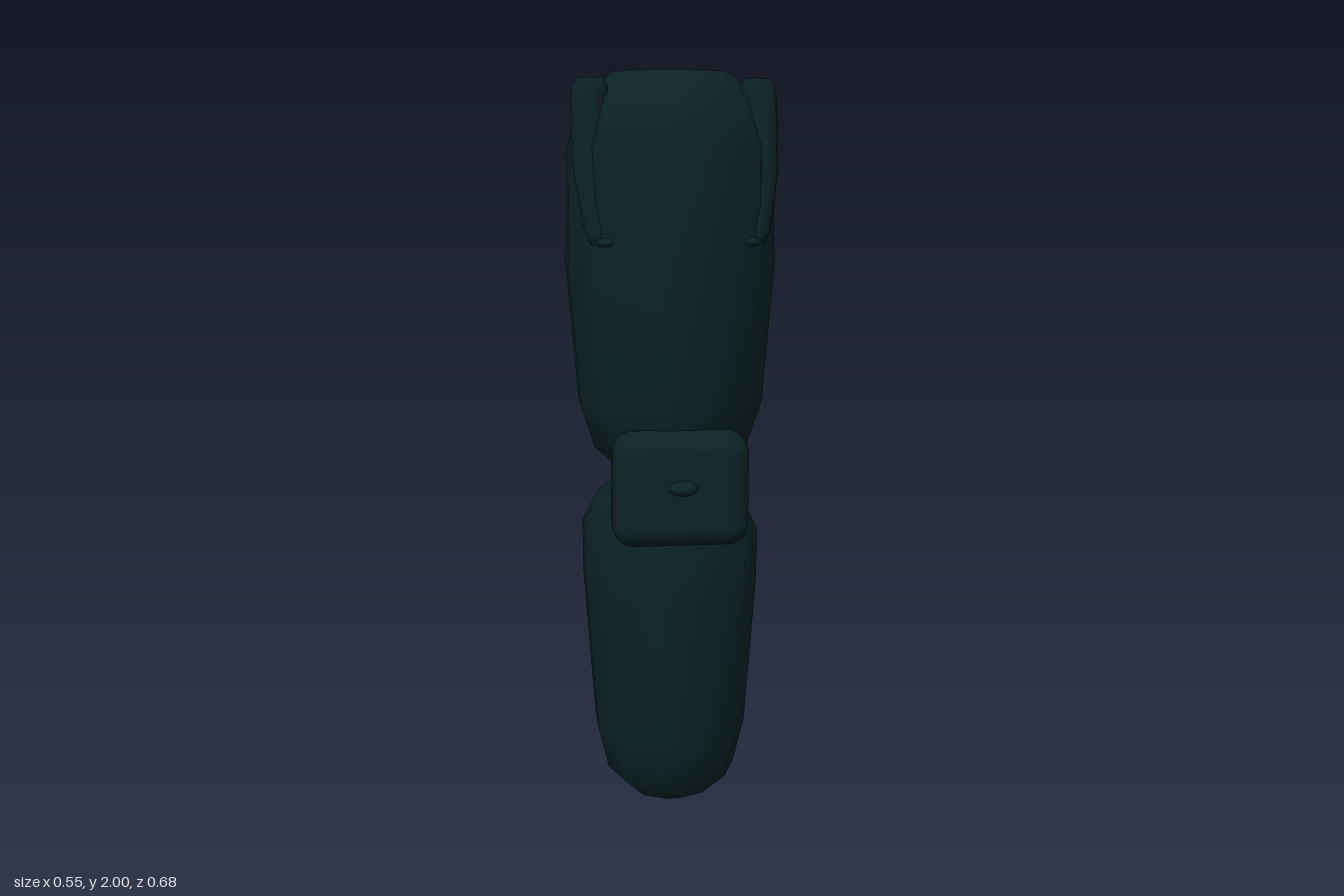
import * as THREE from 'three';
import { RoundedBoxGeometry } from 'three/addons/geometries/RoundedBoxGeometry.js';

// Closed smooth skin over rings of points, listed from bottom to top,
// each ring running clockwise when seen from above
function loft(rings) {
  const n = rings[0].length;
  const index = [];
  for (let r = 0; r < rings.length - 1; r++) {
    for (let i = 0; i < n; i++) {
      const a = r * n + i, b = r * n + (i + 1) % n;
      index.push(a, a + n, b, b, a + n, b + n);
    }
  }
  const top = (rings.length - 1) * n;
  for (let i = 1; i < n - 1; i++) {
    index.push(0, i, i + 1, top, top + i + 1, top + i);
  }
  const g = new THREE.BufferGeometry().setFromPoints(rings.flat());
  g.setIndex(index);
  g.computeVertexNormals();
  return g;
}

// Twelve-sided section of a limb
const quarter = [[0.18, 1], [0.77, 0.79], [1, 0.27]];
const section = [
  ...quarter,
  ...quarter.map(([x, z]) => [x, -z]).reverse(),
  ...quarter.map(([x, z]) => [-x, -z]),
  ...quarter.map(([x, z]) => [-x, z]).reverse(),
].reverse();

// Rows: height, half width, front z, back z
function limb(rows) {
  return loft(rows.map(([y, hx, front, back]) => section.map(([x, z]) =>
    new THREE.Vector3(x * hx, y, (front + back) / 2 + z * (front - back) / 2))));
}

// Tapered flap lying on the outer front corner of the thigh
// Rows: height, centre x, centre z, half length, half thickness
function flapGeometry(rows) {
  const n = 14;
  return loft(rows.map(([y, cx, cz, a, b]) => Array.from({ length: n }, (_, i) => {
    const t = i / n * Math.PI * 2;
    const u = Math.sin(t) * a, v = Math.cos(t) * b;
    return new THREE.Vector3(cx - 0.5 * u + 0.87 * v, y, cz + 0.87 * u + 0.5 * v);
  })));
}

export function createModel() {
  const model = new THREE.Group();
  model.name = 'armouredLeg';
  const armour = new THREE.MeshStandardMaterial({ color: 0x0b2225 });
  armour.name = 'dark teal';
  const add = (name, geometry, parent = model) => {
    const mesh = new THREE.Mesh(geometry, armour);
    mesh.name = name;
    parent.add(mesh);
    return mesh;
  };

  add('thigh', limb([
    [0.935, 0.13, 0.115, -0.2],
    [1.01, 0.21, 0.195, -0.275],
    [1.13, 0.247, 0.235, -0.31],
    [1.5, 0.276, 0.26, -0.335],
    [1.81, 0.268, 0.255, -0.338],
    [1.93, 0.225, 0.21, -0.295],
    [2.0, 0.155, 0.13, -0.21],
  ]));

  add('shin', limb([
    [0, 0.108, 0.1, -0.165],
    [0.07, 0.18, 0.165, -0.235],
    [0.2, 0.21, 0.195, -0.273],
    [0.62, 0.239, 0.22, -0.3],
    [0.77, 0.24, 0.22, -0.3],
    [0.86, 0.195, 0.185, -0.265],
    [0.92, 0.13, 0.12, -0.2],
  ]));

  // Knee pad with a small stud on its face
  add('kneePad', new RoundedBoxGeometry(0.356, 0.3, 0.145, 3, 0.055)).position.set(0, 0.94, 0.2285);
  const stud = add('kneeStud', new THREE.SphereGeometry(1, 16, 10));
  stud.scale.set(0.038, 0.02, 0.04);
  stud.position.set(0, 0.955, 0.299);

  // Side flaps, each ending in a small bead
  const flap = flapGeometry([
    [1.565, 0.205, 0.18, 0.018, 0.016],
    [1.6, 0.211, 0.177, 0.03, 0.027],
    [1.75, 0.224, 0.14, 0.042, 0.039],
    [1.92, 0.219, 0.098, 0.05, 0.045],
    [1.96, 0.216, 0.095, 0.05, 0.045],
    [1.98, 0.214, 0.093, 0.037, 0.033],
  ]);
  const bead = new THREE.SphereGeometry(1, 12, 8);
  for (const side of [1, -1]) {
    const group = new THREE.Group();
    group.name = side > 0 ? 'leftFlap' : 'rightFlap';
    group.scale.x = side;
    add('flap', flap, group);
    const tip = add('flapBead', bead, group);
    tip.scale.set(0.03, 0.012, 0.016);
    tip.position.set(0.182, 1.573, 0.2);
    model.add(group);
  }
  return model;
}
